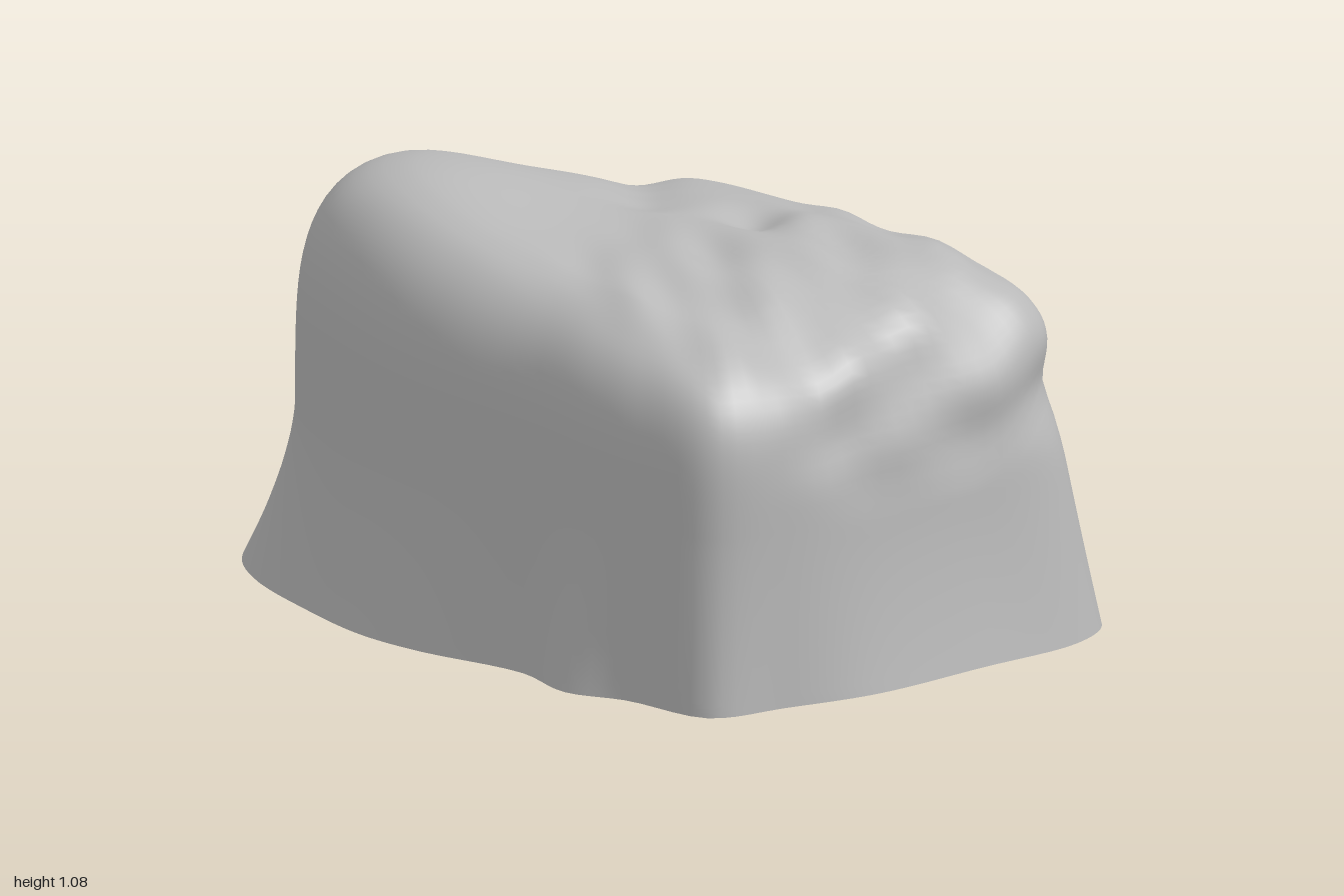
import * as THREE from 'three';

// Matching outlines (x, z) of the foot and of the wall just under the shoulder
const FOOT = [
  [-1, .3], [-.97, .48], [-.85, .64], [-.7, .72], [-.45, .77], [-.2, .8], [0, .78], [.3, .705], [.5, .73], [.65, .66],
  [.9, .6], [.95, .4], [1, .15], [.99, -.2], [.98, -.5], [.9, -.65], [.75, -.71], [.4, -.78], [.15, -.8],
  [-.15, -.78], [-.5, -.73], [-.65, -.66], [-.73, -.5], [-.8, -.25], [-.93, .02]];
const WALL = [
  [-.885, .26], [-.84, .4], [-.75, .545], [-.62, .65], [-.42, .715], [-.2, .745], [0, .735], [.28, .685], [.5, .675],
  [.68, .65], [.88, .58], [.94, .38], [.945, .12], [.925, -.2], [.9, -.44], [.83, -.55], [.7, -.6], [.4, -.605],
  [.15, -.6], [-.15, -.6], [-.45, -.6], [-.61, -.56], [-.7, -.43], [-.785, -.22], [-.885, .04]];

// Heights of the top: rows z = -.6 ... .6, columns x = -.8 ... .8
const TOP = [
  [.89, .91, .93, .95, .94],
  [.9, .93, .955, .97, .96],
  [.99, .995, .98, .985, .96],
  [1.12, 1.08, 1, .97, .92],
  [1.16, 1.13, 1.05, .98, .94]];

const { clamp, lerp, smoothstep } = THREE.MathUtils;

const spline = (a, t) => {
  const f = clamp(t, 0, 3.9999), i = Math.floor(f), k = f - i;
  const p1 = a[i], p2 = a[i + 1], p0 = a[i - 1] ?? p1, p3 = a[i + 2] ?? p2;
  const m1 = (p2 - p0) / 2, m2 = (p3 - p1) / 2;
  return p1 + k * (m1 + k * (3 * (p2 - p1) - 2 * m1 - m2 + k * (2 * (p1 - p2) + m1 + m2)));
};

const dent = (x, z, cx, cz, r) => Math.exp(-((x - cx) ** 2 + (z - cz) ** 2) / (r * r));

// Height of the top surface, with a crease and a rough side
function topHeight(x, z) {
  let h = spline(TOP.map(row => spline(row, (x + .8) / .4)), (z + .6) / .3);
  const rough = smoothstep(x - .25 * z, -.1, .4) * (1 - smoothstep(z, .4, .62));
  h += rough * .009 * (Math.sin(23 * z + 6 * x) + Math.sin(15 * x - 12 * z + 1) + Math.sin(33 * z - 17 * x) * .6);
  h -= .03 * dent(x, z, .14, -.17, .09);
  for (let i = 0; i < 5; i++) h -= .022 * dent(x, z, -.55 + .11 * i, -.38 + .09 * i, .09);
  return h;
}

// Rough terraces high on the +x side
function ledge(x, y, z) {
  const side = smoothstep(x, .55, .85) * (1 - smoothstep(z, .1, .5));
  const high = smoothstep(y, .42, .65);
  return side * high * (-.025 + .01 * Math.sin(24 * y + 7 * z) + .009 * Math.sin(17 * z - 9 * y));
}

function rockGeometry() {
  const curve = pts => new THREE.CatmullRomCurve3(pts.map(([x, z]) => new THREE.Vector3(x, 0, z)), true);
  const foot = curve(FOOT), wall = curve(WALL);
  const N = 128, WALL_ROWS = 14, EDGE_ROWS = 18, CAP_ROWS = 20;
  const ROWS = WALL_ROWS + EDGE_ROWS + CAP_ROWS;
  const pos = [], index = [];

  for (let r = 0; r <= ROWS; r++) {
    for (let i = 0; i < N; i++) {
      const f = foot.getPoint(i / N), w = wall.getPoint(i / N);
      // the back leans in evenly and its shoulder starts higher
      const back = smoothstep(-w.z, .2, .58);
      const wallTop = lerp(.45, .62, back);
      let x, y, z;
      if (r <= WALL_ROWS) {
        // flared wall
        const t = r / WALL_ROWS, k = 1 - (1 - t) ** lerp(1.5, 1.1, back);
        const lift = .02 * dent(f.x, f.z, -.85, .5, .35);
        x = lerp(f.x, w.x, k);
        z = lerp(f.z, w.z, k);
        y = lerp(lift, wallTop, t);
      } else {
        // rounded shoulder, then the cap closing at the centre
        const e = (r - WALL_ROWS) / EDGE_ROWS;
        const s = e <= 1 ? Math.sqrt(Math.cos(e ** 1.6 * Math.PI / 3)) : Math.SQRT1_2 * (ROWS - r) / CAP_ROWS;
        x = lerp(.03, w.x, s);
        z = lerp(.02, w.z, s);
        y = lerp(wallTop, topHeight(x, z), Math.max(0, 1 - s ** 4) ** .25);
      }
      pos.push(x + ledge(x, y, z), y, z);
    }
  }
  for (let r = 0; r < ROWS; r++) {
    for (let i = 0; i < N; i++) {
      const j = (i + 1) % N, a = r * N + i, b = r * N + j, c = a + N, d = b + N;
      index.push(a, b, c);
      if (r < ROWS - 1) index.push(b, d, c);
    }
  }
  const geo = new THREE.BufferGeometry();
  geo.setAttribute('position', new THREE.Float32BufferAttribute(pos, 3));
  geo.setIndex(index);
  geo.computeVertexNormals();
  // the cap's centre points share one upward normal
  for (let i = ROWS * N; i < (ROWS + 1) * N; i++) geo.attributes.normal.setXYZ(i, 0, 1, 0);
  return geo;
}

export function createModel() {
  const group = new THREE.Group();
  group.name = 'rock';
  const stone = new THREE.MeshStandardMaterial({ color: 0xb8b8b8, side: THREE.DoubleSide });
  stone.name = 'stone grey';
  const shell = new THREE.Mesh(rockGeometry(), stone);
  shell.name = 'rockShell';
  group.add(shell);
  return group;
}
